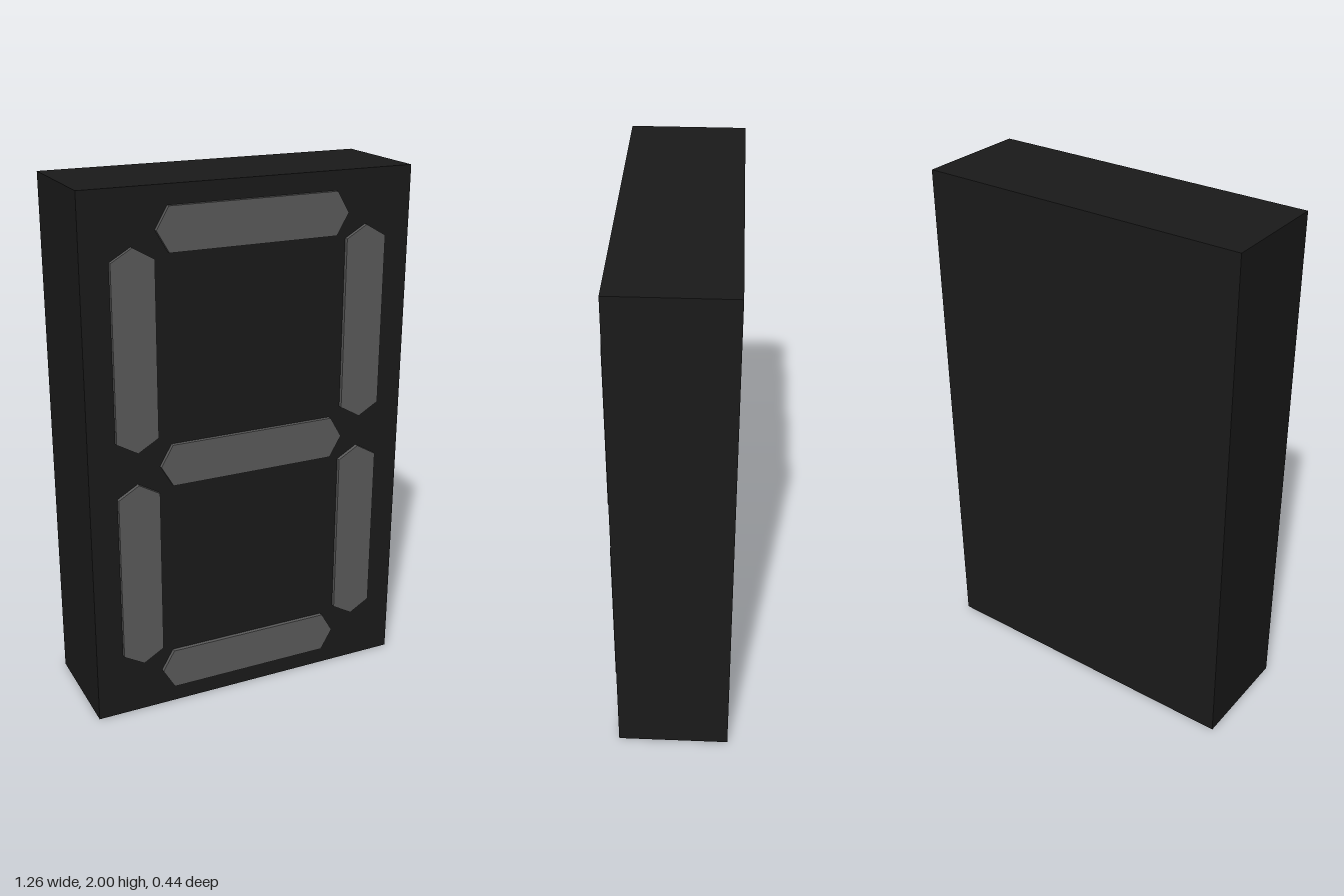
import * as THREE from 'three';

const BACK = -0.22, FACE = 0.205, FRONT = 0.22;

// Flat bar with a pointed tip at each end, lying along x
function segmentGeometry(length, width, tip) {
  const l = length / 2, w = width / 2;
  const shape = new THREE.Shape([
    [-l, 0], [-l + tip, -w], [l - tip, -w], [l, 0], [l - tip, w], [-l + tip, w],
  ].map(([x, y]) => new THREE.Vector2(x, y)));
  const sink = 0.01; // embedded in the housing
  const geometry = new THREE.ExtrudeGeometry(shape, { depth: FRONT - FACE + sink, bevelEnabled: false });
  return geometry.translate(0, 0, FACE - sink);
}

export function createModel() {
  const group = new THREE.Group();
  group.name = 'sevenSegmentDisplay';

  // Housing block
  const housing = new THREE.Mesh(
    new THREE.BoxGeometry(1.265, 2, FACE - BACK),
    new THREE.MeshStandardMaterial({ color: 0x1a1a1a }),
  );
  housing.name = 'housing';
  housing.position.set(0, 1, (FACE + BACK) / 2);
  group.add(housing);

  // Seven raised segments: name, x, y, upright
  const geometry = segmentGeometry(0.735, 0.158, 0.046);
  const material = new THREE.MeshStandardMaterial({ color: 0x5a5a5a });
  const segments = [
    ['topSegment', 0.004, 1.85, false],
    ['middleSegment', 0.004, 0.997, false],
    ['bottomSegment', -0.006, 0.15, false],
    ['upperRightSegment', -0.45, 1.434, true],
    ['upperLeftSegment', 0.448, 1.434, true],
    ['lowerRightSegment', -0.45, 0.576, true],
    ['lowerLeftSegment', 0.448, 0.576, true],
  ];
  for (const [name, x, y, upright] of segments) {
    const segment = new THREE.Mesh(geometry, material);
    segment.name = name;
    segment.position.set(x, y, 0);
    if (upright) segment.rotation.z = Math.PI / 2;
    group.add(segment);
  }
  return group;
}
